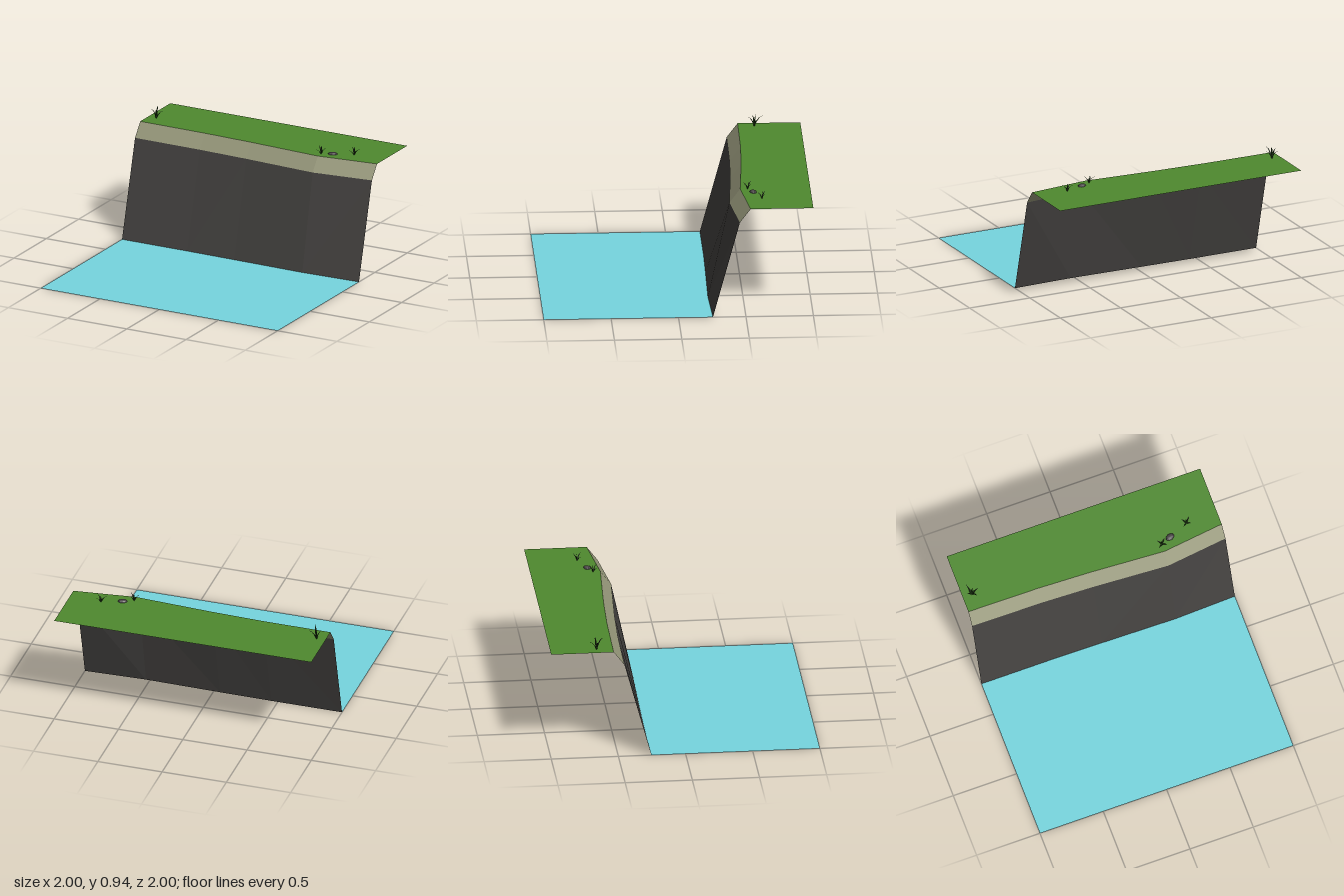
import * as THREE from 'three';

const material = (color) =>
  new THREE.MeshStandardMaterial({ color, flatShading: true, side: THREE.DoubleSide });

// Joins rows of points into a surface
function sheet(name, rows, mat) {
  const n = rows[0].length, index = [];
  for (let r = 0; r < rows.length - 1; r++) {
    for (let i = 0; i < n - 1; i++) {
      const a = r * n + i, d = a + n;
      index.push(a, a + 1, d + 1, a, d + 1, d);
    }
  }
  const geometry = new THREE.BufferGeometry();
  geometry.setAttribute('position', new THREE.Float32BufferAttribute(rows.flat(2), 3));
  geometry.setIndex(index);
  geometry.computeVertexNormals();
  const mesh = new THREE.Mesh(geometry, mat);
  mesh.name = name;
  return mesh;
}

// Tuft of tapered, V-section blades; each blade is [angle, reach, height]
function tuft(name, x, z, width, blades, mat) {
  const group = new THREE.Group();
  group.name = name;
  group.position.set(x, 0.84, z);
  for (const [angle, reach, height] of blades) {
    const stations = [[0, 0, 0.7], [0.22, 0.45, 1], [0.55, 0.8, 0.6], [1, 1, 0]];
    const rows = stations.map(([out, up, w]) => [
      [reach * out, height * up, w * width / 2],
      [reach * out + w * width * 0.3, height * up - w * width * 0.1, 0],
      [reach * out, height * up, -w * width / 2],
    ]);
    const blade = sheet('blade', rows, mat);
    blade.rotation.y = angle;
    group.add(blade);
  }
  return group;
}

export function createModel() {
  const model = new THREE.Group();

  // Contours of the bank, from the model's right to its left
  const xs = [-1, -0.45, -0.05, 0.53, 1];
  const contour = (y, zs) => xs.map((x, i) => [x, y, zs[i]]);
  const foot = contour(0, [-0.255, -0.255, -0.25, -0.24, -0.255]);
  const ledge = contour(0.735, [-0.455, -0.45, -0.435, -0.4, -0.455]);
  const rim = contour(0.84, [-0.535, -0.53, -0.515, -0.48, -0.535]);
  const level = (y, z) => contour(y, xs.map(() => z));

  model.add(
    sheet('water', [level(0, 1), foot], material(0x76d6df)),
    sheet('cliff', [foot, ledge], material(0x444240)),
    sheet('bankEdge', [ledge, rim], material(0x96977a)),
    sheet('grassTop', [rim, level(0.84, -1)], material(0x4f8a2f)),
  );

  // Grass tufts
  const leaf = material(0x26421a);
  model.add(tuft('largeTuft', -0.93, -0.655, 0.015, [
    [0.15, 0.06, 0.066], [1.9, 0.07, 0.075], [-1.1, 0.06, 0.085],
    [3.4, 0.038, 0.07], [0.9, 0.015, 0.095],
  ], leaf));
  const smallBlades = [
    [0.75, 0.046, 0.045], [2.4, 0.046, 0.055], [-2.4, 0.046, 0.04],
    [-0.7, 0.046, 0.05], [1.6, 0.01, 0.062],
  ];
  for (const [x, z] of [[0.527, -0.535], [0.755, -0.63]]) {
    model.add(tuft('smallTuft', x, z, 0.01, smallBlades, leaf));
  }

  // Flat stone lying on the grass
  const stone = new THREE.Mesh(
    new THREE.SphereGeometry(1, 8, 4, 0, Math.PI * 2, 0, Math.PI / 2), material(0x4c4849));
  stone.name = 'stone';
  stone.scale.set(0.036, 0.016, 0.025);
  stone.rotation.y = 0.35;
  stone.position.set(0.605, 0.84, -0.572);
  model.add(stone);

  return model;
}
